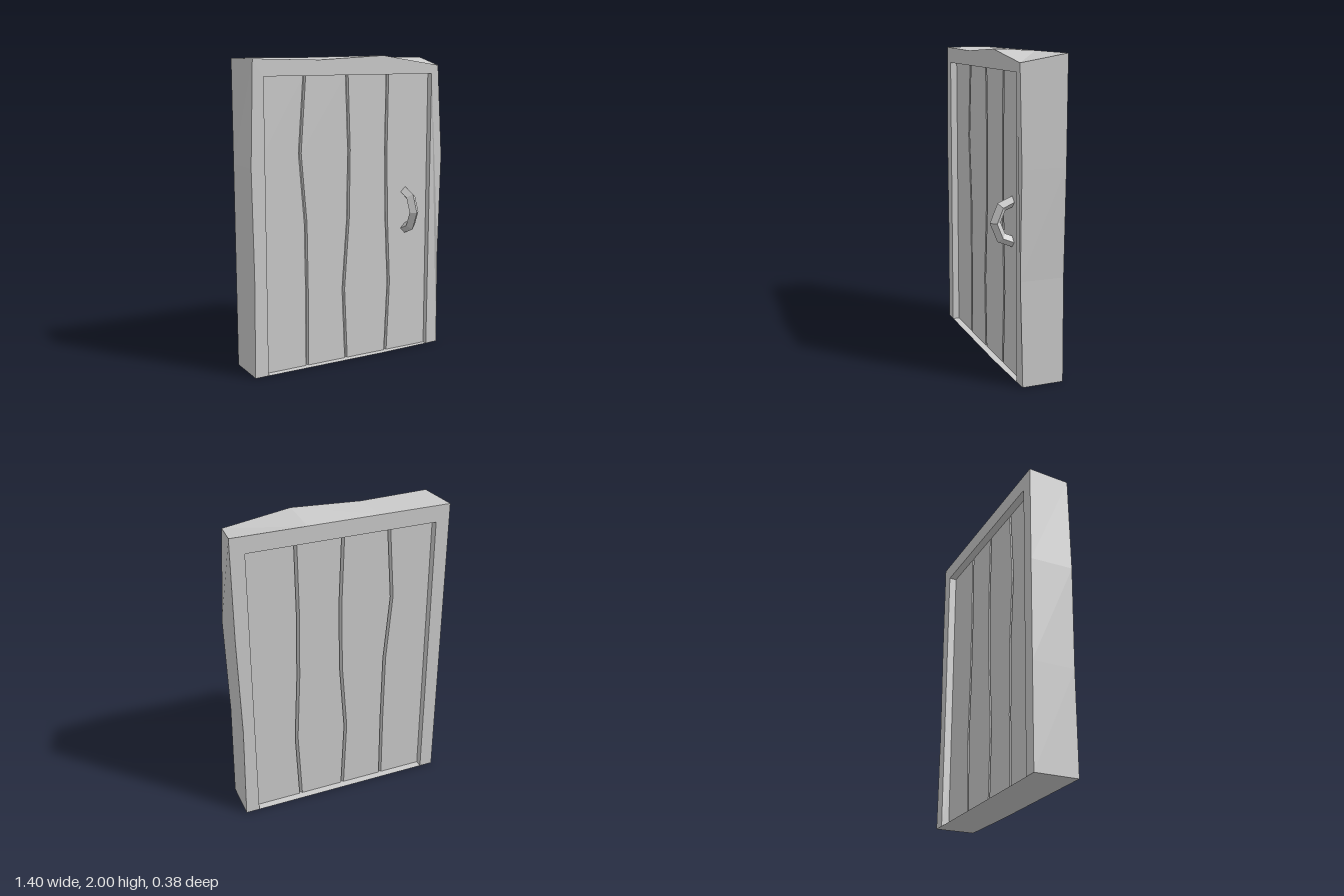
import * as THREE from 'three';

const FRONT = 0.09, BACK = -0.19;
const grey = (side = THREE.FrontSide) =>
  new THREE.MeshStandardMaterial({ color: 0xcccccc, flatShading: true, side });

function named(name, geometry, material = grey()) {
  const mesh = new THREE.Mesh(geometry, material);
  mesh.name = name;
  return mesh;
}

// U-shaped frame: crooked front outline, straighter back outline
function frameGeometry() {
  const opening = [[0.61, 0], [0.61, 1.88], [-0.61, 1.88], [-0.61, 0]];
  const front = [
    [-0.7, 0], [-0.693, 0.66], [-0.702, 1.33], [-0.68, 1.985],
    [-0.23, 1.975], [0.23, 2.0], [0.66, 1.935],
    [0.7, 1.33], [0.685, 0.66], [0.7, 0], ...opening,
  ];
  const back = [
    [-0.7, 0], [-0.7, 0.66], [-0.7, 1.33], [-0.7, 1.987],
    [-0.23, 1.987], [0.23, 1.987], [0.7, 1.987],
    [0.7, 1.33], [0.687, 0.66], [0.7, 0], ...opening,
  ];
  const shape = new THREE.Shape(front.map(([x, y]) => new THREE.Vector2(x, y)));
  const g = new THREE.ExtrudeGeometry(shape, { depth: FRONT - BACK, bevelEnabled: false });
  g.translate(0, 0, BACK);
  const p = g.attributes.position;
  for (let i = 0; i < p.count; i++) {
    const x = p.getX(i), y = p.getY(i);
    if (p.getZ(i) < 0) {
      const k = front.findIndex(([a, b]) => Math.hypot(a - x, b - y) < 1e-4);
      p.setXY(i, back[k][0], back[k][1]);
    } else if (y === 0 && x > 0.6) {
      p.setZ(i, x > 0.65 ? 0.075 : 0.079); // worn lower corner
    }
  }
  g.computeVertexNormals();
  return g;
}

// Plank face with crooked grooves; sign +1 faces front, -1 faces back
function plankGeometry(z, sign) {
  const rows = [0, 0.48, 0.95, 1.4, 1.88];
  const seams = [
    [-0.302, -0.3, -0.305, -0.342, -0.306],
    [-0.01, -0.03, 0.005, 0.012, -0.004],
    [0.3, 0.322, 0.3, 0.293, 0.3],
  ];
  const pos = [], index = [];
  rows.forEach((y, r) => {
    const section = [[-0.61, 0]];
    for (const s of seams) section.push([s[r] - 0.02, 0], [s[r] - 0.004, -0.02], [s[r], 0]);
    section.push([0.61, 0]);
    for (const [x, d] of section) pos.push(x, y, z + sign * d);
  });
  const n = pos.length / 3 / rows.length;
  for (let r = 0; r < rows.length - 1; r++) {
    for (let c = 0; c < n - 1; c++) {
      const a = r * n + c, b = a + 1, d = a + n, e = d + 1;
      if (sign > 0) index.push(a, b, e, a, e, d);
      else index.push(a, e, b, a, d, e);
    }
  }
  const g = new THREE.BufferGeometry();
  g.setAttribute('position', new THREE.Float32BufferAttribute(pos, 3));
  g.setIndex(index);
  g.computeVertexNormals();
  return g;
}

export function createModel() {
  const door = new THREE.Group();
  door.name = 'door';

  door.add(named('frame', frameGeometry()));
  door.add(named('frontPlanks', plankGeometry(0.045, 1)));
  door.add(named('backPlanks', plankGeometry(-0.14, -1)));

  // Flat sill closing the underside
  const sill = new THREE.ShapeGeometry(new THREE.Shape(
    [[-0.61, -FRONT], [0.23, -FRONT], [0.61, -0.079], [0.61, -BACK], [-0.61, -BACK]]
      .map(([x, y]) => new THREE.Vector2(x, y))));
  sill.rotateX(-Math.PI / 2);
  door.add(named('sill', sill, grey(THREE.DoubleSide)));

  // Half-ring handle with a diamond section, ends sunk in the planks
  const handle = new THREE.TorusGeometry(0.135, 0.035, 4, 4, Math.PI);
  handle.rotateZ(-Math.PI / 2).rotateY(-Math.PI / 2).translate(0.44, 0.97, 0.02);
  door.add(named('handle', handle));

  return door;
}
